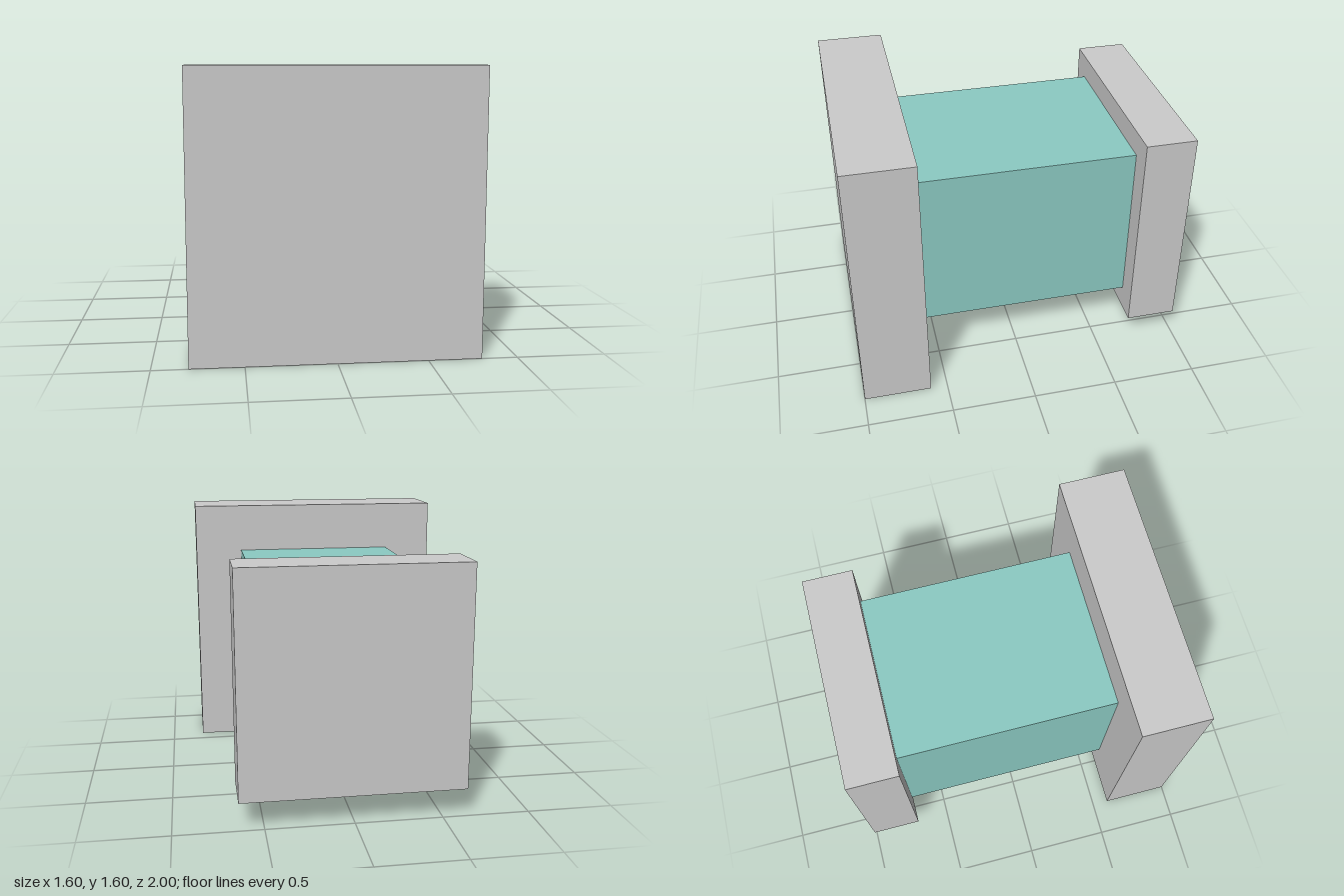
import * as THREE from 'three';

export function createModel() {
  const group = new THREE.Group();
  const grey = new THREE.MeshStandardMaterial({ color: 0xcccccc, flatShading: true });
  const teal = new THREE.MeshStandardMaterial({ color: 0x8ccac3, flatShading: true });

  // Square block spanning zBack to zFront, centred on the long axis
  const addBlock = (name, size, zBack, zFront, material) => {
    const mesh = new THREE.Mesh(new THREE.BoxGeometry(size, size, zFront - zBack), material);
    mesh.name = name;
    mesh.position.set(0, 0.8, (zBack + zFront) / 2);
    group.add(mesh);
  };

  addBlock('frontPlate', 1.6, 0.6, 1, grey);
  addBlock('core', 1, -0.7, 0.6, teal);
  addBlock('backPlate', 1.28, -1, -0.7, grey);

  return group;
}
